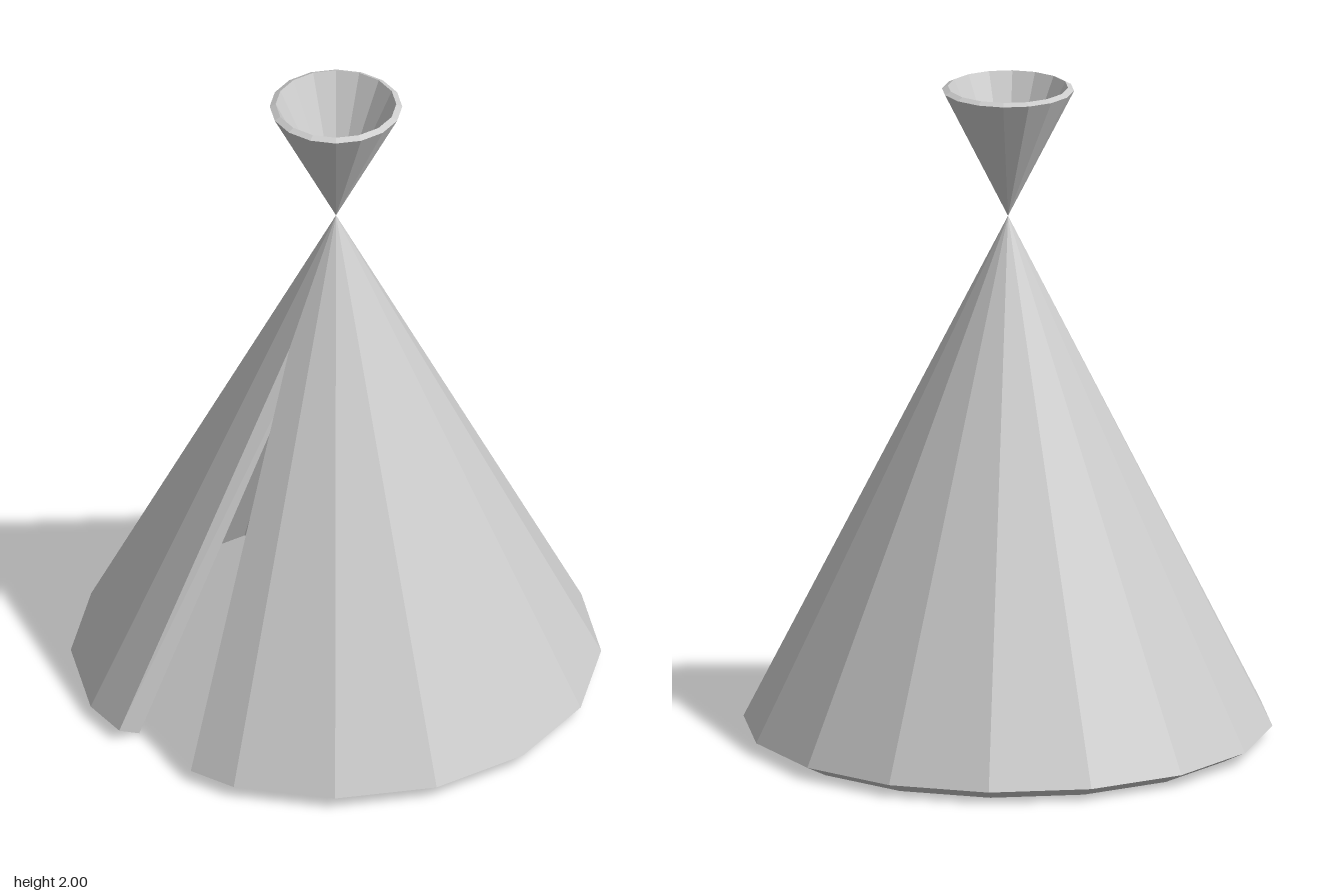
import * as THREE from 'three';

const SIDES = 16, R = 0.79, APEX = 1.6, RIM_DROP = 1.563, WALL = 0.08;

// Point on the outer cone, measured from its tip; angle runs from -x towards +z
function conePoint(step, radius = R) {
  const a = (step / SIDES) * Math.PI * 2;
  return new THREE.Vector3(-Math.cos(a) * radius, -RIM_DROP * radius / R, Math.sin(a) * radius);
}

// Move a point inward, square to the cone's slope
function inset(p) {
  const r = Math.hypot(p.x, p.z), slope = Math.hypot(R, RIM_DROP);
  const k = (r - WALL * RIM_DROP / slope) / r;
  return new THREE.Vector3(p.x * k, p.y - WALL * R / slope, p.z * k);
}

// Thick-walled faceted cone with its tip at the origin, opening down to a closed edge loop
function coneShell(name, loop) {
  const tip = new THREE.Vector3(), innerTip = new THREE.Vector3(0, -WALL, 0);
  const inner = loop.map(inset), tris = [];
  loop.forEach((o, i) => {
    const j = (i + 1) % loop.length, o2 = loop[j], n = inner[i], n2 = inner[j];
    tris.push(tip, o, o2); // outside
    tris.push(innerTip, n2, n); // inside
    tris.push(o, n, n2, o, n2, o2); // edge
  });
  const geometry = new THREE.BufferGeometry().setFromPoints(tris);
  geometry.computeVertexNormals();
  const mesh = new THREE.Mesh(geometry, new THREE.MeshStandardMaterial({ color: 0xcccccc, flatShading: true }));
  mesh.name = name;
  mesh.position.y = APEX;
  return mesh;
}

export function createModel() {
  const group = new THREE.Group();
  group.name = 'tent';
  const rim = Array.from({ length: SIDES }, (_, i) => conePoint(i));
  const middle = (a, b) => rim[a].clone().lerp(rim[b], 0.5);

  // Tent cover: one rim corner is replaced by a tall wedge-shaped doorway
  const doorTop = conePoint(1, 0.195);
  group.add(coneShell('tentCover', [doorTop, middle(1, 2), ...rim.slice(2), rim[0], middle(0, 1)]));

  // Smoke funnel: a small upturned cone meeting the cover tip to tip
  const funnel = coneShell('smokeFunnel', rim);
  funnel.scale.setScalar(0.25);
  funnel.rotation.x = Math.PI;
  group.add(funnel);
  return group;
}
